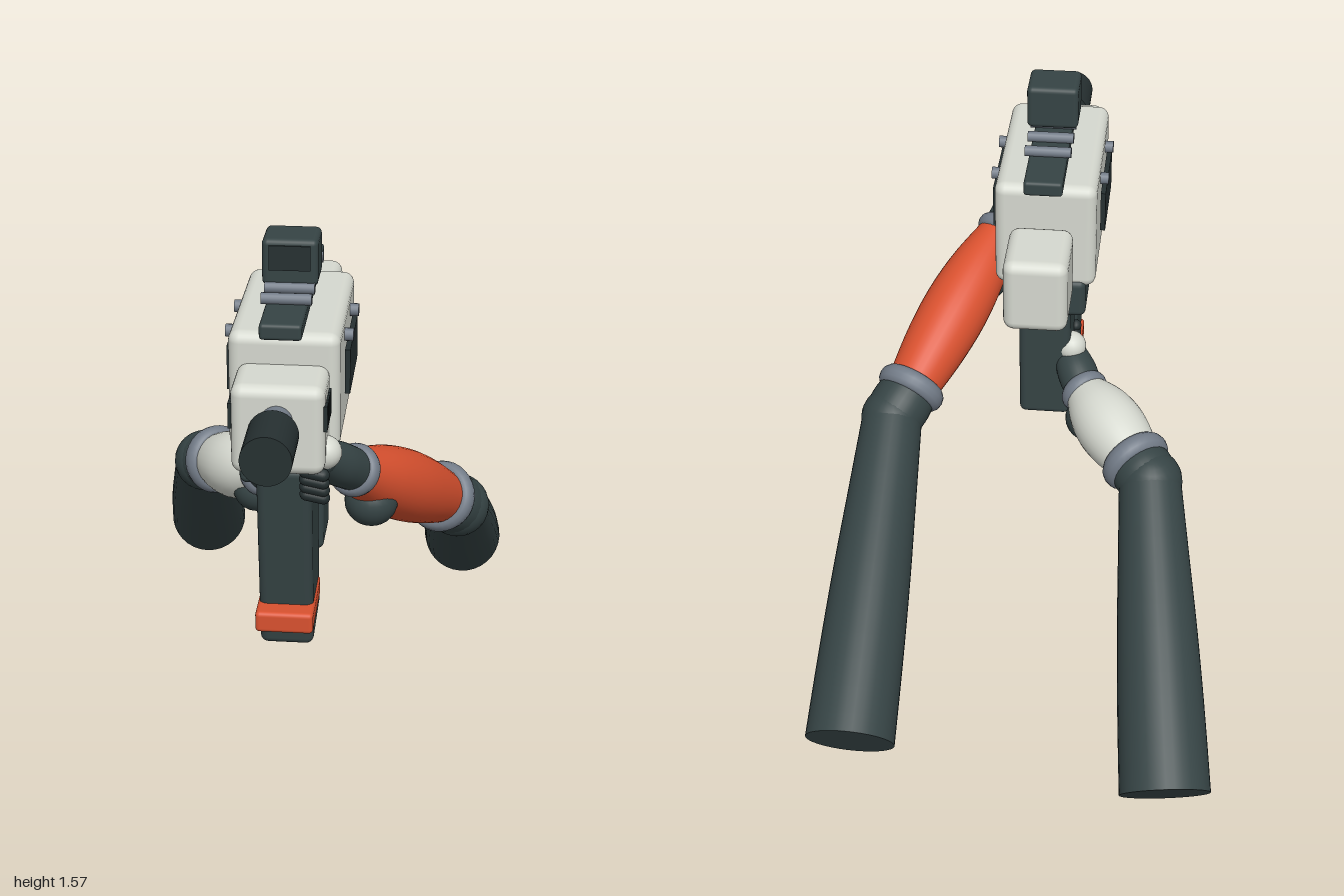
import * as THREE from 'three';
import { RoundedBoxGeometry } from 'three/addons/geometries/RoundedBoxGeometry.js';

const mat = (name, color) => new THREE.MeshStandardMaterial({ name, color });
const M = {
  dark: mat('dark slate', 0x364445),
  black: mat('deep slate', 0x263031),
  light: mat('pale shell', 0xd6d9d0),
  steel: mat('blue grey', 0x737c88),
  red: mat('orange red', 0xd9512f),
};
const V = (a) => new THREE.Vector3(...a);
const UP = new THREE.Vector3(0, 1, 0);
const CX = -0.0125; // centre line of the tool

export function createModel() {
  const root = new THREE.Group();
  root.name = 'armsWithTool';

  function add(parent, name, geo, material, pos = [0, 0, 0]) {
    const m = new THREE.Mesh(geo, material);
    m.name = name;
    m.position.set(...pos);
    parent.add(m);
    return m;
  }
  // Rounded box from its y and z limits, centred on the tool
  function block(name, material, w, y0, y1, z0, z1, r) {
    return add(tool, name, new RoundedBoxGeometry(w, y1 - y0, z1 - z0, 3, r), material,
      [CX, (y0 + y1) / 2, (z0 + z1) / 2]);
  }
  // Closed round limb between two points, with radii spread along its length
  function limb(parent, name, material, a, b, radii) {
    const A = V(a), B = V(b), len = A.distanceTo(B);
    const curve = new THREE.SplineCurve(radii.map((r, i) =>
      new THREE.Vector2(r, (i / (radii.length - 1)) * len)));
    const body = new THREE.LatheGeometry(curve.getPoints(14), 32);
    const m = add(parent, name, body, material, a);
    m.quaternion.setFromUnitVectors(UP, B.sub(A).normalize());
    // flat end caps
    for (const [r, y, s] of [[radii[0], 0, 1], [radii.at(-1), len, -1]]) {
      const cap = add(m, name + 'Cap', new THREE.CircleGeometry(r, 32), material, [0, y, 0]);
      cap.rotation.x = s * Math.PI / 2;
    }
    return m;
  }
  function ring(parent, name, pos, dir, r, tube) {
    const m = add(parent, name, new THREE.TorusGeometry(r, tube, 12, 32), M.steel, pos);
    m.quaternion.setFromUnitVectors(new THREE.Vector3(0, 0, 1), dir);
    m.scale.z = 1.25;
  }
  function ball(parent, name, material, pos, r, scale = [1, 1, 1]) {
    const m = add(parent, name, new THREE.SphereGeometry(r, 24, 16), material, pos);
    m.scale.set(...scale);
    return m;
  }

  // Tool body
  const tool = new THREE.Group();
  tool.name = 'tool';
  root.add(tool);
  block('body', M.light, 0.287, 1.06, 1.385, 0.088, 0.598, 0.03);
  block('lowerBody', M.dark, 0.235, 0.965, 1.085, 0.08, 0.6, 0.02);
  block('frontBlock', M.light, 0.237, 1.065, 1.305, 0.575, 0.757, 0.03);
  block('rearStock', M.light, 0.177, 1.098, 1.314, -0.206, 0.01, 0.03);
  block('topRail', M.dark, 0.108, 1.394, 1.437, 0.024, 0.668, 0.01);
  block('railMount', M.dark, 0.08, 1.37, 1.4, 0.12, 0.57, 0.008);
  block('sight', M.dark, 0.145, 1.453, 1.578, 0.303, 0.432, 0.015);
  add(tool, 'sightLens', new THREE.BoxGeometry(0.108, 0.066, 0.006), M.black, [CX, 1.53, 0.433]);

  // Rail bars
  for (let i = 0; i < 5; i++) {
    const bar = add(tool, 'railBar', new THREE.CylinderGeometry(0.015, 0.015, 0.13, 16), M.steel,
      [CX, 1.449, 0.18 + i * 0.083]);
    bar.rotation.z = Math.PI / 2;
  }

  // Barrel and muzzle
  for (const [name, material, r, z0, z1] of [
    ['barrel', M.steel, 0.04, 0.74, 0.86], ['muzzle', M.black, 0.064, 0.838, 1]]) {
    const c = add(tool, name, new THREE.CylinderGeometry(r, r, z1 - z0, 32), material,
      [CX, 1.218, (z0 + z1) / 2]);
    c.rotation.x = Math.PI / 2;
  }

  // Side panels, bolts and vents
  for (const s of [-1, 1]) {
    add(tool, 'sidePanel', new THREE.BoxGeometry(0.014, 0.121, 0.256), M.black,
      [CX + s * 0.154, 1.24, 0.346]);
    for (const z of [0.255, 0.438]) {
      const bolt = add(tool, 'bolt', new THREE.CylinderGeometry(0.017, 0.017, 0.03, 16), M.steel,
        [CX + s * 0.152, 1.33, z]);
      bolt.rotation.z = Math.PI / 2;
    }
    for (const z of [0.635, 0.681, 0.727])
      add(tool, 'vent', new THREE.BoxGeometry(0.009, 0.068, 0.03), M.black, [CX + s * 0.12, 1.22, z]);
  }

  // Forward slanted magazine with band, rear grip and trigger
  const mag = add(tool, 'magazine', new RoundedBoxGeometry(0.145, 0.56, 0.212, 3, 0.022), M.dark,
    [CX, 0.755, 0.478]);
  mag.rotation.x = 0.128;
  mag.position.z = 0.482;
  block('magazineBand', M.red, 0.155, 0.54, 0.6, 0.388, 0.625, 0.012);
  const grip = block('grip', M.dark, 0.15, 0.61, 1.0, 0.085, 0.268, 0.02);
  grip.rotation.x = -0.02;
  const trigger = add(tool, 'trigger', new RoundedBoxGeometry(0.025, 0.075, 0.022, 2, 0.008), M.steel,
    [CX, 0.94, 0.3]);
  trigger.rotation.x = -0.25;

  // Arms, each running from hand to shoulder end
  const arms = [
    { name: 'leftArm', shell: M.red, hand: [0.085, 1.08, 0.655], wrist: [0.165, 0.98, 0.515],
      cuff: [0.382, 0.695, 0.06], elbow: [0.43, 0.635, -0.01], end: [0.44, 0.125, -0.835],
      pad: [0.205, 0.855, 0.435], knuckle: [0.1, 1.1, 0.672], finger: [0.077, 1.06, 0.715] },
    { name: 'rightArm', shell: M.light, hand: [-0.08, 0.81, 0.14], wrist: [-0.135, 0.74, 0.035],
      cuff: [-0.3, 0.668, -0.19], elbow: [-0.345, 0.64, -0.24], end: [-0.44, 0.11, -0.93],
      pad: [-0.155, 0.67, 0.0], knuckle: [-0.088, 0.84, 0.12], finger: [-0.07, 0.83, 0.235] },
  ];
  for (const a of arms) {
    const g = new THREE.Group();
    g.name = a.name;
    root.add(g);
    const dir = V(a.cuff).sub(V(a.wrist)).normalize();
    limb(g, 'hand', M.dark, a.hand, a.wrist, [0.045, 0.058, 0.056]);
    ball(g, 'palm', M.dark, a.hand, 0.05);
    ball(g, 'knucklePlate', M.light, a.knuckle, 0.044);
    // curled fingers stacked on the held part
    for (let i = 0; i < 4; i++) {
      const f = add(g, 'finger', new THREE.CapsuleGeometry(0.017, 0.045, 6, 12), M.black,
        [a.finger[0], a.finger[1] - i * 0.024, a.finger[2] - i * 0.006]);
      f.rotation.z = Math.PI / 2 - 0.2;
    }
    ring(g, 'wristRing', a.wrist, dir, 0.052, 0.02);
    limb(g, 'forearm', a.shell, a.wrist, a.cuff, [0.058, 0.088, 0.1, 0.094, 0.076]);
    ball(g, 'forearmPad', M.dark, a.pad, 0.072, [1, 0.95, 1]);
    ring(g, 'elbowRing', a.cuff, dir, 0.078, 0.025);
    limb(g, 'elbowSleeve', M.dark, a.cuff, a.elbow, [0.084, 0.09, 0.088]);
    ball(g, 'elbow', M.dark, a.elbow, 0.092);
    limb(g, 'upperArm', M.dark, a.elbow, a.end, [0.088, 0.1, 0.112, 0.12, 0.125]);
  }
  return root;
}
